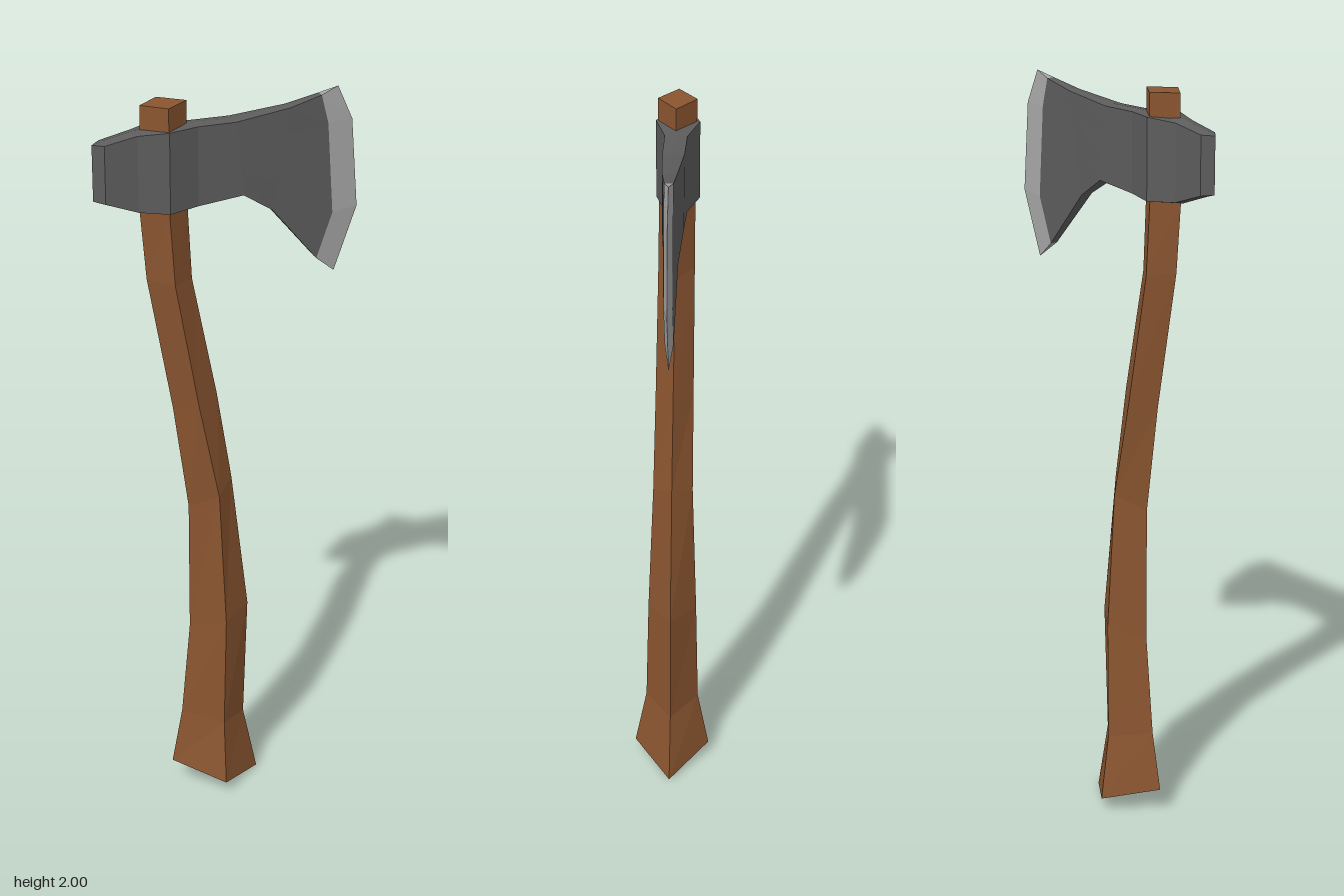
import * as THREE from 'three';

// Skin a list of equal-length rings, counterclockwise as seen from the last ring.
function loft(name, rings, color, capped = true) {
  const n = rings[0].length;
  const pos = rings.flat(2);
  const index = [];
  for (let i = 0; i < rings.length - 1; i++) {
    for (let j = 0; j < n; j++) {
      const k = (j + 1) % n;
      const a = i * n + j, b = i * n + k, c = b + n, d = a + n;
      index.push(a, b, c, a, c, d);
    }
  }
  if (capped) {
    const last = (rings.length - 1) * n;
    for (let j = 1; j < n - 1; j++) {
      index.push(0, j + 1, j, last, last + j, last + j + 1);
    }
  }
  const indexed = new THREE.BufferGeometry();
  indexed.setAttribute('position', new THREE.Float32BufferAttribute(pos, 3));
  indexed.setIndex(index);
  const geometry = indexed.toNonIndexed();
  geometry.computeVertexNormals();
  const mesh = new THREE.Mesh(geometry, new THREE.MeshStandardMaterial({ color, flatShading: true }));
  mesh.name = name;
  return mesh;
}

// Diamond-section handle: left x,y; ridge x,y; right x,y; half depth
function makeHandle() {
  const stations = [
    [-0.17, 0.08, -0.048, 0.043, 0.08, 0.005, 0.105],
    [-0.14, 0.24, -0.042, 0.22, 0.04, 0.2, 0.073],
    [-0.115, 0.51, -0.033, 0.54, 0.052, 0.55, 0.066],
    [-0.115, 0.88, -0.047, 0.92, 0.005, 0.95, 0.053],
    [-0.155, 1.175, -0.1, 1.19, -0.035, 1.2, 0.05],
    [-0.22, 1.545, -0.16, 1.535, -0.1, 1.53, 0.047],
    [-0.235, 1.73, -0.172, 1.73, -0.11, 1.73, 0.046],
    [-0.23, 2, -0.172, 2, -0.11, 2, 0.049],
  ];
  return loft('handle', stations.map(([lx, ly, mx, my, rx, ry, h], i) => {
    const z = -0.006 * i / 7;
    return [[rx, ry, z], [mx, my, z - h], [lx, ly, z], [mx, my, z + h]];
  }), 0x8a5530);
}

// Head section: side points from top to bottom, half thickness, ridge height, centre z
function headRing(side, h, ridge, z = -0.007) {
  const top = side[0], bottom = side[side.length - 1];
  return [
    [top[0], top[1] + ridge, z],
    ...side.map(([x, y]) => [x, y, z + h]),
    [bottom[0], bottom[1] - ridge, z],
    ...[...side].reverse().map(([x, y]) => [x, y, z - h]),
  ];
}

// Four evenly spread points between a top and a bottom corner
const column = (xt, yt, xb, yb) =>
  [0, 0.25, 0.7, 1].map((t) => [xt + (xb - xt) * t, yt + (yb - yt) * t]);

export function createModel() {
  const group = new THREE.Group();
  group.name = 'axe';
  group.add(makeHandle());

  // Poll, eye and cheeks, running from the blunt end to the bevel
  const bevel = headRing([[0.243, 1.975], [0.262, 1.9], [0.278, 1.66], [0.236, 1.54]], 0.011, 0, -0.011);
  const body = [
    [-0.353, 1.913, -0.353, 1.768, 0, 0],
    [-0.328, 1.915, -0.328, 1.765, 0.024, 0.005],
    [-0.245, 1.932, -0.245, 1.735, 0.028, 0.006],
    [-0.172, 1.94, -0.172, 1.73, 0.055, 0.003],
    [-0.09, 1.938, -0.09, 1.732, 0.028, 0.004],
    [0.01, 1.938, 0.03, 1.745, 0.027, 0.003],
    [0.155, 1.955, 0.11, 1.692, 0.018, 0.002],
  ].map(([xt, yt, xb, yb, h, ridge]) => headRing(column(xt, yt, xb, yb), h, ridge));
  group.add(loft('axeHead', [...body, bevel], 0x5c5c5c, false));

  // Ground cutting edge
  const edge = headRing([[0.292, 1.99], [0.332, 1.9], [0.35, 1.665], [0.29, 1.495]], 0, 0, -0.013);
  group.add(loft('cuttingEdge', [bevel, edge], 0xa8a8a8, false));

  return group;
}
